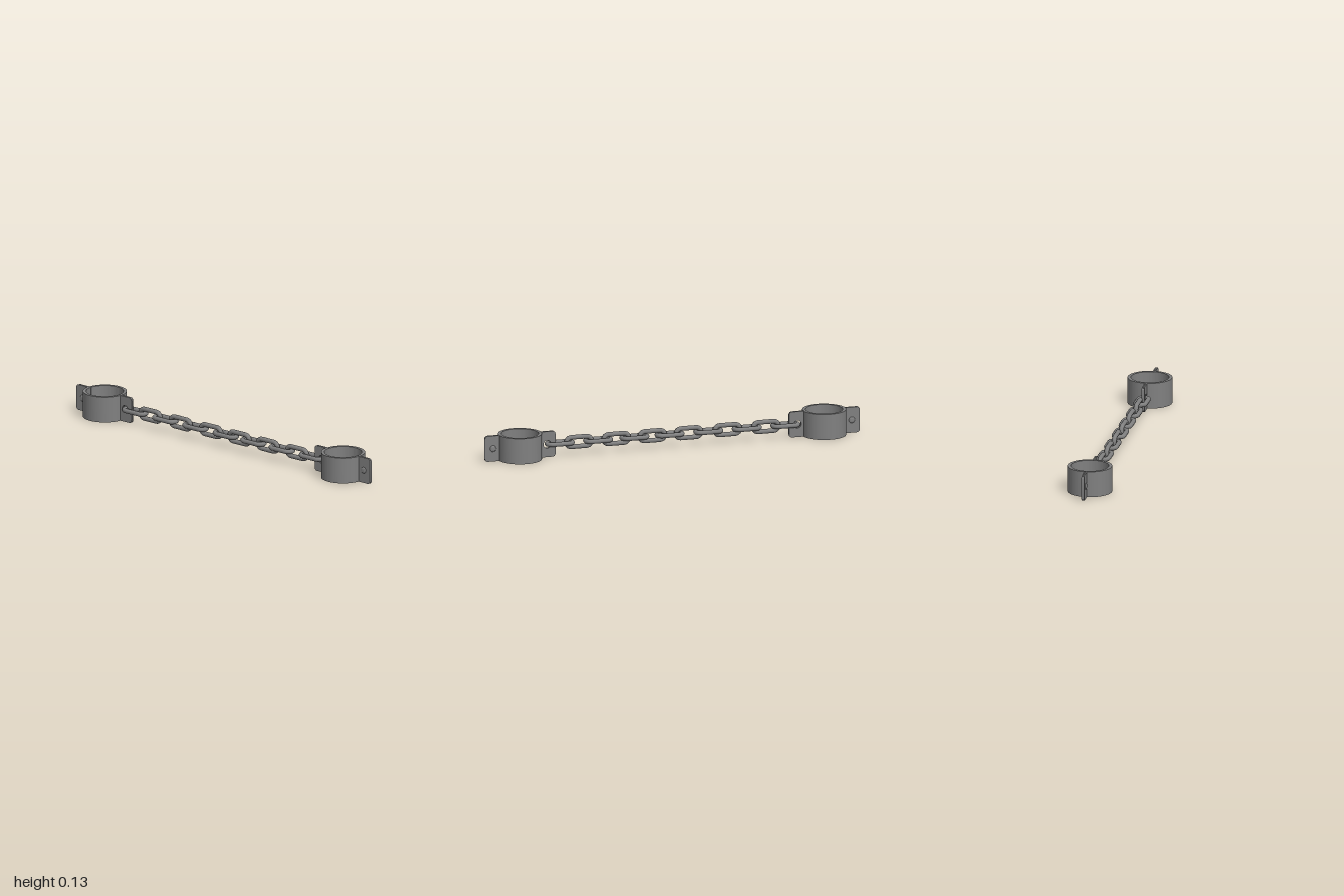
import * as THREE from 'three';
import { toCreasedNormals } from 'three/addons/utils/BufferGeometryUtils.js';

const H = 0.133, MID = H / 2;        // cuff height, chain level
const CUFF_X = 0.81, R_OUT = 0.113, R_IN = 0.0965;
const GAP = 0.0008, PLATE = 0.006;   // slit between the halves, tab thickness
const mat = new THREE.MeshStandardMaterial({ color: 0x808080 });

function add(parent, name, geometry) {
  const mesh = new THREE.Mesh(geometry, mat);
  mesh.name = name;
  parent.add(mesh);
  return mesh;
}

// Half ring, extruded upwards, on the +z side
function halfBandGeometry() {
  const a = 0.008;
  const s = new THREE.Shape();
  s.absarc(0, 0, R_OUT, Math.PI + a, 2 * Math.PI - a, false);
  s.absarc(0, 0, R_IN, 2 * Math.PI - a, Math.PI + a, true);
  const g = new THREE.ExtrudeGeometry(s, { depth: H, bevelEnabled: false, curveSegments: 32 });
  g.rotateX(-Math.PI / 2);
  return toCreasedNormals(g, 0.6);
}

// Flat tab from x0 to x1 with rounded corners at x1 and a round hole
function tabGeometry(x0, x1, holeX, holeR) {
  const r = 0.016;
  const s = new THREE.Shape();
  s.moveTo(x0, 0);
  s.lineTo(x1 - r, 0);
  s.absarc(x1 - r, r, r, -Math.PI / 2, 0, false);
  s.absarc(x1 - r, H - r, r, 0, Math.PI / 2, false);
  s.lineTo(x0, H);
  const hole = new THREE.Path();
  hole.absarc(holeX, MID, holeR, 0, Math.PI * 2, true);
  s.holes.push(hole);
  const g = new THREE.ExtrudeGeometry(s, { depth: PLATE, bevelEnabled: false, curveSegments: 10 });
  g.translate(0, 0, GAP);
  return toCreasedNormals(g, 0.6);
}

// Rivet with a domed head at each end
function rivetGeometry() {
  const z = GAP + PLATE;
  const half = [[0.0165, z], [0.0155, z + 0.002], [0.0125, z + 0.0045], [0.007, z + 0.0068], [0, z + 0.0075]];
  const pts = [...half.map(([r, y]) => [r, -y]).reverse(), [0.009, -z], [0.009, z], ...half];
  const g = new THREE.LatheGeometry(pts.map(([r, y]) => new THREE.Vector2(r, y)), 16);
  g.rotateX(Math.PI / 2);
  return toCreasedNormals(g, 0.7);
}

// Oval link in the xy plane
function linkGeometry() {
  const straight = 0.042, bend = 0.0245, wire = 0.012;
  const path = new THREE.CurvePath();
  const line = (x0, y0, x1, y1) => path.add(new THREE.LineCurve3(
    new THREE.Vector3(x0, y0, 0), new THREE.Vector3(x1, y1, 0)));
  const arc = (cx, start) => {
    const n = 8;
    for (let i = 0; i < n; i++) {
      const a = start + Math.PI * i / n, b = start + Math.PI * (i + 1) / n;
      line(cx + bend * Math.cos(a), bend * Math.sin(a), cx + bend * Math.cos(b), bend * Math.sin(b));
    }
  };
  line(-straight, -bend, straight, -bend);
  arc(straight, -Math.PI / 2);
  line(straight, bend, -straight, bend);
  arc(-straight, Math.PI / 2);
  return new THREE.TubeGeometry(path, 64, wire, 12, true);
}

export function createModel() {
  const model = new THREE.Group();
  model.name = 'shackles';

  // Cuffs: two mirrored halves each, riveted on the outer side
  const band = halfBandGeometry();
  const outerTab = tabGeometry(0.104, 1 - CUFF_X, 0.957 - CUFF_X, 0.009);
  const innerTab = tabGeometry(0.104, CUFF_X - 0.621, CUFF_X - 0.665, 0.02);
  const rivet = rivetGeometry();
  for (const side of [1, -1]) {
    const cuff = new THREE.Group();
    cuff.name = side > 0 ? 'leftCuff' : 'rightCuff';
    for (const turn of [0, Math.PI]) {
      const half = new THREE.Group();
      half.name = turn ? 'backHalf' : 'frontHalf';
      add(half, 'band', band);
      // turning swaps the two ends, so the tabs swap too
      add(half, 'tab', turn ? innerTab : outerTab);
      const other = add(half, 'oppositeTab', turn ? outerTab : innerTab);
      other.rotation.y = Math.PI;
      other.position.z = 2 * GAP + PLATE;
      half.rotation.y = turn;
      cuff.add(half);
    }
    add(cuff, 'rivet', rivet).position.set(0.957 - CUFF_X, MID, 0);
    cuff.position.x = side * CUFF_X;
    cuff.rotation.y = side > 0 ? 0 : Math.PI;
    model.add(cuff);
  }

  // Chain: flat and upright links in turn
  const chain = new THREE.Group();
  chain.name = 'chain';
  const link = linkGeometry();
  const centres = [-0.602, -0.499, -0.397, -0.294, -0.193, -0.088, 0.013, 0.105, 0.2, 0.297, 0.393, 0.495, 0.597];
  centres.forEach((x, i) => {
    const flat = i % 2 === 0;
    const mesh = add(chain, flat ? 'flatLink' : 'uprightLink', link);
    mesh.position.set(x, MID, 0);
    if (flat) mesh.rotation.x = Math.PI / 2;
  });
  model.add(chain);
  return model;
}
